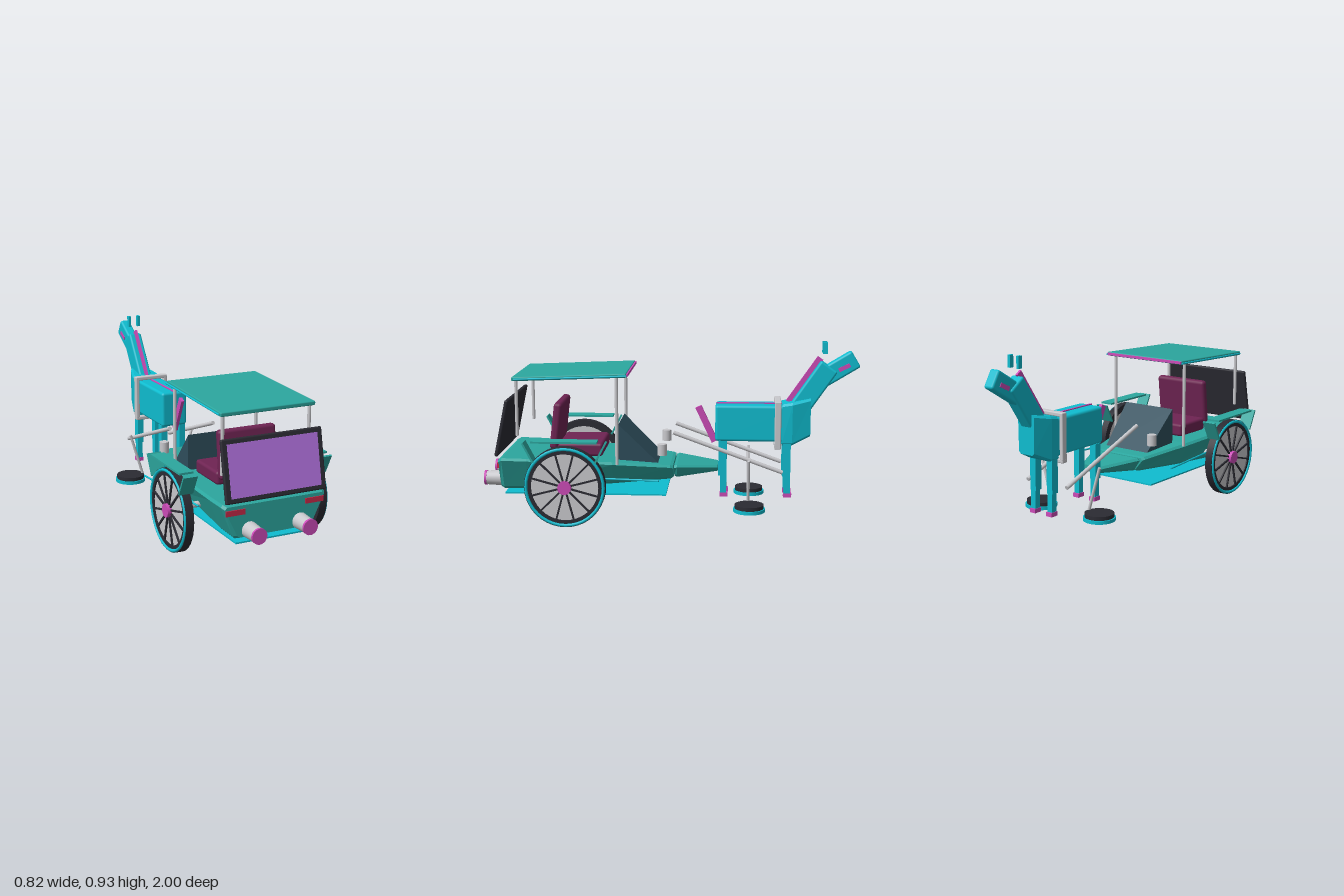
import * as THREE from 'three';
import { toCreasedNormals } from 'three/addons/utils/BufferGeometryUtils.js';
import { RoundedBoxGeometry } from 'three/addons/geometries/RoundedBoxGeometry.js';

const mat = (name, color, side = THREE.FrontSide) =>
  Object.assign(new THREE.MeshStandardMaterial({ color, side }), { name });

export function createModel() {
  const cyan = mat('cyan', 0x0fbdd0), teal = mat('teal', 0x2ca79f), black = mat('black', 0x2b2b33);
  const gray = mat('light gray', 0xc9c9cd), magenta = mat('magenta', 0xcc4bb8);
  const violet = mat('violet', 0xb070dc), red = mat('red', 0xc92a4a);
  const slate = mat('slate', 0x2f4f5d), maroon = mat('maroon', 0x6f2453);

  const model = new THREE.Group();
  model.name = 'horseCarriage';
  const group = (name, parent = model) => {
    const g = new THREE.Group();
    g.name = name;
    parent.add(g);
    return g;
  };
  const add = (parent, name, geo, material, x = 0, y = 0, z = 0, rx = 0) => {
    const m = new THREE.Mesh(geo, material);
    m.name = name;
    m.position.set(x, y, z);
    m.rotation.x = rx;
    parent.add(m);
    return m;
  };
  const box = (parent, name, material, [w, h, d], [x, y, z], rx = 0, r = 0) =>
    add(parent, name, r ? new RoundedBoxGeometry(w, h, d, 2, r) : new THREE.BoxGeometry(w, h, d), material, x, y, z, rx);
  // Round bar between two points
  const rod = (parent, name, material, a, b, r) => {
    const p = new THREE.Vector3(...a), q = new THREE.Vector3(...b), d = q.clone().sub(p);
    const m = add(parent, name, new THREE.CylinderGeometry(r, r, d.length(), 12), material);
    m.position.copy(p.add(q).multiplyScalar(0.5));
    m.quaternion.setFromUnitVectors(new THREE.Vector3(0, 1, 0), d.normalize());
    return m;
  };
  // Loft of chamfered trapezoids; each section is [z, top half width, bottom half width, y0, y1]
  const loft = (sections, c = 0.012) => {
    const pos = [], idx = [], n = 8;
    for (const [z, t, b, y0, y1] of sections) {
      const ring = [[b - c, y0], [b, y0 + c], [t, y1 - c], [t - c, y1], [c - t, y1], [-t, y1 - c], [-b, y0 + c], [c - b, y0]];
      for (const [x, y] of ring) pos.push(x, y, z);
    }
    const last = (sections.length - 1) * n;
    for (let s = 0; s < last; s += n) for (let i = 0; i < n; i++) {
      const j = (i + 1) % n;
      idx.push(s + i, s + n + i, s + n + j, s + i, s + n + j, s + j);
    }
    for (let i = 1; i < n - 1; i++) idx.push(0, i, i + 1, last, last + i + 1, last + i);
    const g = new THREE.BufferGeometry();
    g.setAttribute('position', new THREE.Float32BufferAttribute(pos, 3));
    g.setIndex(idx);
    const flat = g.toNonIndexed();
    flat.computeVertexNormals();
    return flat;
  };

  // Carriage hull, nose and floor plate
  const carriage = group('carriage');
  add(carriage, 'hull', loft([
    [0.9, 0.27, 0.205, 0.165, 0.325], [0.88, 0.283, 0.22, 0.158, 0.335], [0.75, 0.28, 0.22, 0.16, 0.332],
    [0.3, 0.245, 0.19, 0.185, 0.312], [0, 0.178, 0.14, 0.203, 0.285], [-0.015, 0.168, 0.13, 0.21, 0.28]]), teal);
  add(carriage, 'nose', loft([
    [-0.02, 0.155, 0.13, 0.217, 0.278], [-0.035, 0.16, 0.135, 0.212, 0.283], [-0.25, 0.068, 0.06, 0.23, 0.265]]), teal);
  box(carriage, 'floorPlate', cyan, [0.4, 0.008, 0.86], [0, 0.13, 0.45]);

  // Dashboard wedge
  const wedge = new THREE.Shape([[-0.275, 0.29], [-0.06, 0.285], [-0.275, 0.5]].map(p => new THREE.Vector2(...p)));
  const wedgeGeo = new THREE.ExtrudeGeometry(wedge, { depth: 0.32, bevelEnabled: false });
  wedgeGeo.rotateY(Math.PI / 2).translate(-0.16, 0, 0);
  const p = wedgeGeo.attributes.position;
  for (let i = 0; i < p.count; i++) if (p.getZ(i) < 0.1) p.setX(i, p.getX(i) * 0.87);
  wedgeGeo.computeVertexNormals();
  add(carriage, 'dashboard', wedgeGeo, slate);

  // Seat
  box(carriage, 'seatCushion', maroon, [0.32, 0.07, 0.24], [0, 0.36, 0.48], 0, 0.015);
  box(carriage, 'seatBack', maroon, [0.32, 0.25, 0.045], [0, 0.485, 0.61], -0.12, 0.018);

  // Tilted screen
  const screen = group('screen', carriage);
  screen.position.set(0, 0.492, 0.878);
  screen.rotation.x = -0.21;
  box(screen, 'screenFrame', black, [0.545, 0.305, 0.02], [0, 0, 0], 0, 0.008);
  box(screen, 'screenPanel', violet, [0.488, 0.256, 0.006], [0, 0, 0.01]);

  // Roof, sloping up toward the horse
  const slope = 0.04;
  box(carriage, 'roof', teal, [0.51, 0.022, 0.6], [0, 0.763, 0.522], slope, 0.006);
  box(carriage, 'roofTrim', magenta, [0.5, 0.014, 0.008], [0, 0.775, 0.219]);

  for (const s of [-1, 1]) {
    const side = s < 0 ? 'right' : 'left';
    // Roof supports and rails
    rod(carriage, side + 'RearPost', gray, [s * 0.235, 0.45, 0.8], [s * 0.235, 0.75, 0.8], 0.009);
    rod(carriage, side + 'FrontPost', gray, [s * 0.235, 0.3, 0.275], [s * 0.235, 0.77, 0.275], 0.009);
    rod(carriage, side + 'RoofRail', cyan, [s * 0.257, 0.75, 0.81], [s * 0.257, 0.772, 0.22], 0.005);
    rod(carriage, side + 'SideBar', cyan, [s * 0.31, 0.235, 0.05], [s * 0.26, 0.235, 0.6], 0.005);

    // Rear lights and exhausts
    box(carriage, side + 'RearLight', red, [0.102, 0.027, 0.009], [s * 0.215, 0.294, 0.901]);
    add(carriage, side + 'Exhaust', new THREE.CylinderGeometry(0.037, 0.046, 0.16, 24), gray, s * 0.138, 0.197, 0.91, Math.PI / 2);
    add(carriage, side + 'ExhaustCap', new THREE.CylinderGeometry(0.04, 0.04, 0.012, 24), magenta, s * 0.138, 0.197, 0.994, Math.PI / 2);
    add(carriage, side + 'Lamp', new THREE.CylinderGeometry(0.025, 0.025, 0.06, 16), gray, s * 0.19, 0.375, 0.04);

    // Fender: flat top with flared ends
    const fender = group(side + 'Fender', carriage);
    box(fender, 'fenderTop', teal, [0.075, 0.01, 0.34], [s * 0.372, 0.45, 0.53]);
    for (const e of [-1, 1])
      box(fender, 'fenderFlare', teal, [0.075, 0.115, 0.01], [s * 0.372, 0.395, 0.53 + e * 0.186], e * 0.48);

    // Wheel
    const wheel = group(side + 'Wheel', carriage);
    wheel.position.set(s * 0.373, 0.212, 0.53);
    wheel.rotation.z = -s * Math.PI / 2;
    const tyre = new THREE.LatheGeometry([[0.175, -0.022], [0.211, -0.022], [0.211, 0.02], [0.175, 0.02], [0.175, -0.022]]
      .map(q => new THREE.Vector2(...q)), 40);
    add(wheel, 'tyre', toCreasedNormals(tyre, 0.6), black);
    add(wheel, 'rim', new THREE.TorusGeometry(0.201, 0.008, 8, 40), cyan, 0, 0.02, 0, Math.PI / 2);
    add(wheel, 'wheelDisc', new THREE.CylinderGeometry(0.177, 0.177, 0.026, 40), gray);
    for (let i = 0; i < 12; i++) {
      const a = i * Math.PI / 6 + 0.26;
      const spoke = box(wheel, 'spoke', black, [0.15, 0.009, 0.009], [Math.cos(a) * 0.1, 0.017, -Math.sin(a) * 0.1]);
      spoke.rotation.y = a;
    }
    add(wheel, 'hub', new THREE.CylinderGeometry(0.035, 0.035, 0.03, 24), magenta, 0, 0.021);

    // Shafts and hanging discs beside the horse
    rod(model, side + 'Shaft', gray, [s * 0.13, 0.455, -0.015], [s * 0.13, 0.245, -0.595], 0.011);
    rod(model, side + 'DiscRod', gray, [s * 0.122, 0.075, -0.415], [s * 0.195, 0.32, -0.415], 0.008);
    add(model, side + 'DiscBase', new THREE.CylinderGeometry(0.084, 0.084, 0.018, 32), cyan, s * 0.197, 0.057, -0.42);
    add(model, side + 'DiscTop', new THREE.CylinderGeometry(0.077, 0.077, 0.02, 32), black, s * 0.197, 0.076, -0.42);
  }
  rod(carriage, 'axle', gray, [-0.36, 0.217, 0.525], [0.36, 0.217, 0.525], 0.016);

  // Horse
  const horse = group('horse');
  box(horse, 'body', cyan, [0.15, 0.195, 0.42], [0, 0.495, -0.445], 0, 0.015);
  add(horse, 'chest', loft([
    [-0.59, 0.076, 0.076, 0.378, 0.6], [-0.645, 0.082, 0.078, 0.38, 0.61], [-0.742, 0.052, 0.05, 0.425, 0.63]]), cyan);
  box(horse, 'neck', cyan, [0.075, 0.29, 0.108], [0, 0.68, -0.755], -0.6, 0.012);
  box(horse, 'head', cyan, [0.058, 0.1, 0.22], [0, 0.783, -0.882], 0.55, 0.012);
  box(horse, 'mane', magenta, [0.012, 0.29, 0.035], [0, 0.722, -0.708], -0.6);
  box(horse, 'spineStripe', magenta, [0.01, 0.008, 0.4], [0, 0.594, -0.44]);
  box(horse, 'tail', magenta, [0.018, 0.21, 0.035], [0, 0.478, -0.187], 0.44);
  for (const s of [-1, 1]) {
    box(horse, 'ear', cyan, [0.015, 0.062, 0.024], [s * 0.028, 0.898, -0.812]);
    box(horse, 'mouthStripe', magenta, [0.006, 0.022, 0.065], [s * 0.029, 0.795, -0.915], 0.45);
    for (const z of [-0.275, -0.617]) {
      box(horse, 'upperLeg', cyan, [0.036, 0.19, 0.044], [s * 0.055, 0.305, z]);
      box(horse, 'lowerLeg', cyan, [0.03, 0.11, 0.034], [s * 0.055, 0.165, z - 0.005]);
      box(horse, 'hoof', magenta, [0.037, 0.022, 0.044], [s * 0.055, 0.104, z - 0.008]);
    }
  }

  // Harness band around the horse
  const harness = group('harness');
  for (const s of [-1, 1]) {
    box(harness, 'harnessSide', gray, [0.022, 0.24, 0.035], [s * 0.087, 0.495, -0.568], 0, 0.006);
    box(harness, 'harnessBar', gray, [0.196, 0.022, 0.035], [0, 0.49 + s * 0.118, -0.568], 0, 0.006);
  }
  return model;
}
